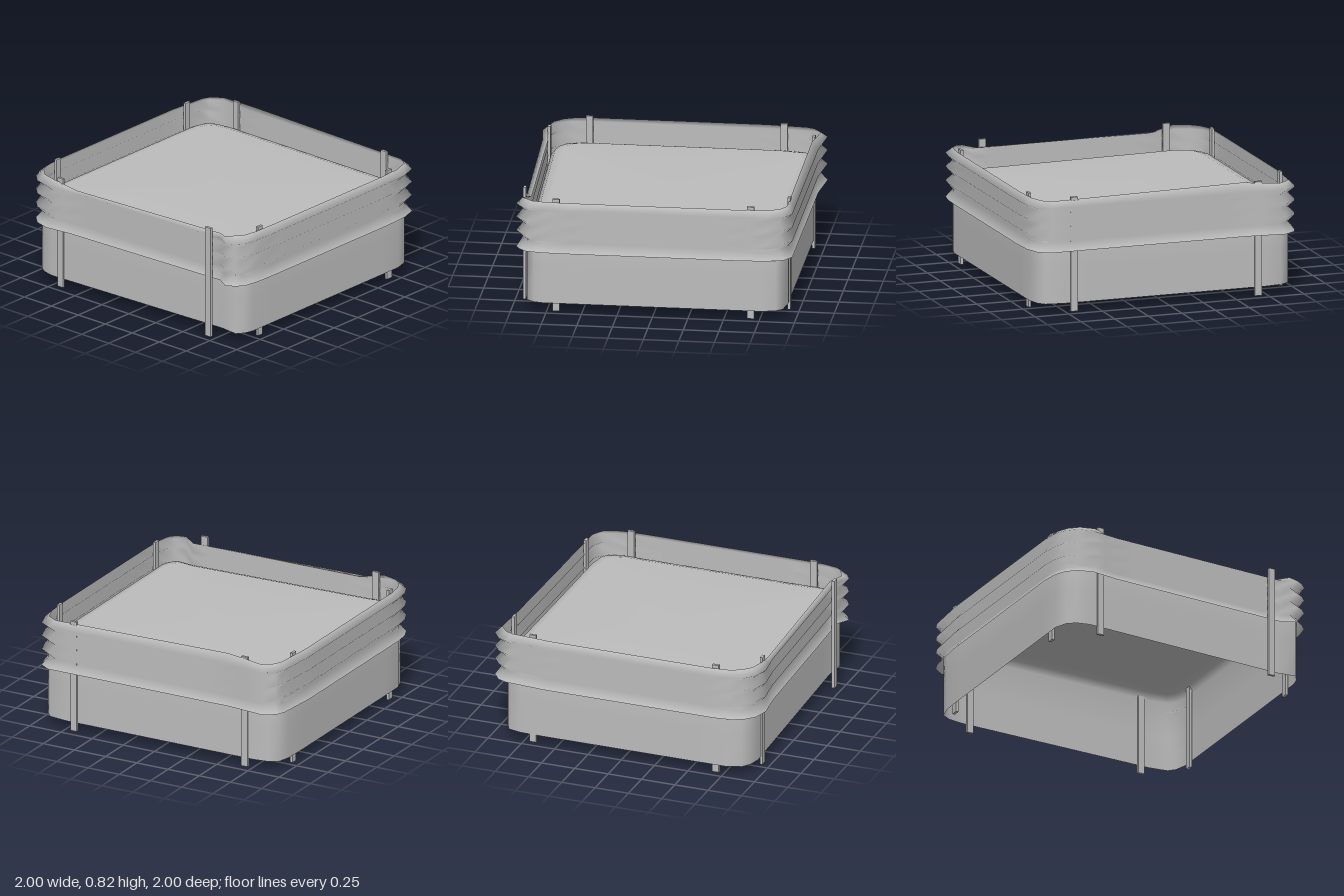
import * as THREE from 'three';

// Smooth skin over stacked closed rings, listed from bottom to top
function skin(rings, capHeight) {
  const n = rings[0].length, pos = [], index = [];
  for (const ring of rings) for (const p of ring) pos.push(...p);
  for (let j = 0; j < rings.length - 1; j++) {
    for (let i = 0; i < n; i++) {
      const k = (i + 1) % n, a = j * n + i, b = j * n + k;
      index.push(a, a + n, b, b, a + n, b + n);
    }
  }
  if (capHeight) {
    const last = (rings.length - 1) * n, centre = pos.length / 3;
    pos.push(0, capHeight, 0);
    for (let i = 0; i < n; i++) index.push(last + i, centre, last + (i + 1) % n);
  }
  const g = new THREE.BufferGeometry();
  g.setAttribute('position', new THREE.Float32BufferAttribute(pos, 3));
  g.setIndex(index);
  g.computeVertexNormals();
  return g;
}

// Splits the long sides of a closed outline into short steps
function subdivide(points, step) {
  return points.flatMap((p, i) => {
    const q = points[(i + 1) % points.length];
    const count = Math.max(1, Math.round(Math.hypot(q[0] - p[0], q[1] - p[1]) / step));
    return Array.from({ length: count }, (_, s) => p.map((v, c) => v + (q[c] - v) * s / count));
  });
}

export function createModel() {
  const model = new THREE.Group();
  const grey = new THREE.MeshStandardMaterial({ color: 0xbcbcbc, side: THREE.DoubleSide });
  grey.name = 'plain grey';
  const add = (name, geometry) => {
    const mesh = new THREE.Mesh(geometry, grey);
    mesh.name = name;
    model.add(mesh);
    return mesh;
  };

  // Open-bottomed tub with slightly uneven corners and a closed, rounded top
  const tub = subdivide([
    [-0.955, -0.6], [-0.95, -0.78], [-0.925, -0.875], [-0.86, -0.91], [-0.75, -0.926],
    [0.75, -0.926], [0.89, -0.905], [0.93, -0.86], [0.956, -0.765],
    [0.956, 0.775], [0.94, 0.84], [0.9, 0.895], [0.76, 0.878],
    [-0.77, 0.936], [-0.86, 0.915], [-0.92, 0.87], [-0.955, 0.775],
  ], 0.2);
  const tubLevels = [[0.06, 1], [0.32, 1], [0.58, 1], [0.625, 0.965], [0.645, 0.9]];
  add('tub', skin(tubLevels.map(([y, s]) => tub.map(([x, z]) => [x * s, y, z * s])), 0.655));

  // Pleated collar: x, z and the lift of the top edge at each point
  const collar = subdivide([
    [-1, -0.58, 0], [-0.975, -0.88, 0], [-0.95, -0.94, 0], [-0.87, -1, 0],
    [-0.58, -0.97, 0.02], [0.87, -0.97, 0], [0.95, -0.92, 0], [0.99, -0.8, 0],
    [1, -0.6, 0], [1, 0.6, 0], [0.995, 0.78, 0], [0.975, 0.89, 0], [0.93, 0.94, 0],
    [0.87, 0.975, -0.01], [0.78, 0.92, -0.025], [-0.57, 0.97, -0.04],
    [-0.77, 0.995, 0], [-0.88, 0.965, 0], [-0.95, 0.9, 0], [-0.985, 0.82, 0], [-1, 0.7, 0],
  ], 0.12);
  const pleats = [[0.44, 1], [0.505, 0.957], [0.56, 1], [0.61, 0.957],
    [0.66, 1], [0.712, 0.957], [0.757, 1], [0.8, 0.957]];
  add('pleatedCollar', skin(pleats.map(([y, s], j) => collar.map(([x, z, lift]) =>
    [x * s, y + (j === pleats.length - 1 ? lift : 0), z * s]))));

  // Eight flat upright posts, two on each side
  const postX = new THREE.BoxGeometry(0.02, 0.82, 0.05);
  const postZ = new THREE.BoxGeometry(0.05, 0.82, 0.02);
  for (const a of [-1, 1]) {
    for (const b of [-1, 1]) {
      add('sidePost', postX).position.set(a * 0.935, 0.41, b * 0.685);
      add(b > 0 ? 'frontPost' : 'backPost', postZ).position.set(a * 0.685, 0.41, b > 0 ? 0.936 : -0.926);
    }
  }
  return model;
}
